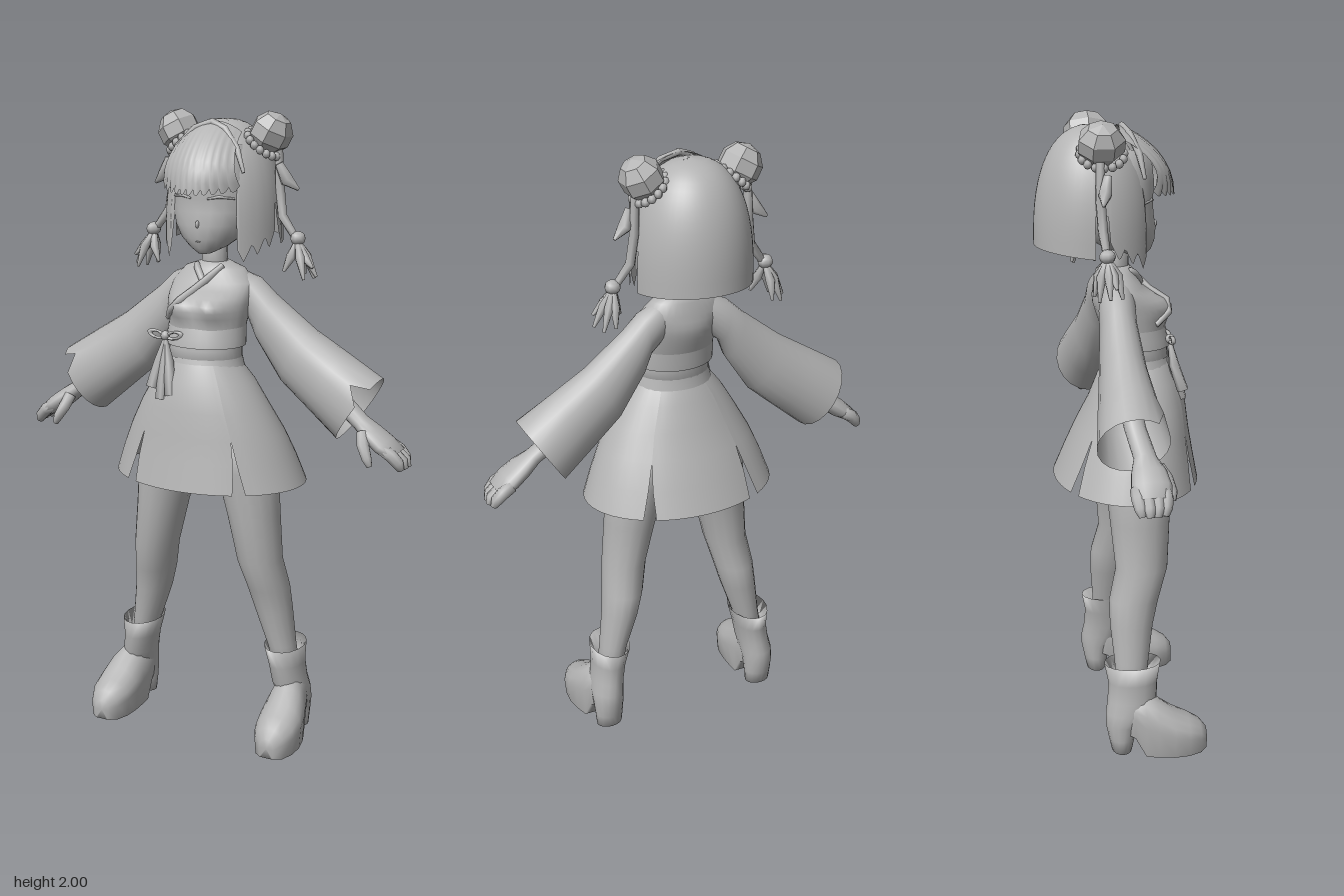
import * as THREE from 'three';

const V = (x, y, z) => new THREE.Vector3(x, y, z);
const lerp = THREE.MathUtils.lerp;
const RAD = Math.PI / 180;

// Grid surface from fn(column, row); outward side is column x row direction
function surface(cols, rows, fn, closed = false) {
  const pos = [], idx = [], w = closed ? cols : cols + 1;
  for (let i = 0; i <= rows; i++) for (let j = 0; j < w; j++) pos.push(...fn(j, i).toArray());
  for (let i = 0; i < rows; i++) for (let j = 0; j < cols; j++) {
    const k = (j + 1) % w, a = i * w + j, b = i * w + k, c = a + w, d = b + w;
    idx.push(a, b, c, b, d, c);
  }
  const g = new THREE.BufferGeometry();
  g.setAttribute('position', new THREE.Float32BufferAttribute(pos, 3));
  g.setIndex(idx);
  g.computeVertexNormals();
  return g;
}

// Closed loft through rings { c, e1, e2 }, where e1 x e2 points along the loft
function loft(rings, n = 16, caps = true, tweak = p => p) {
  const zero = V(0, 0, 0), last = rings[rings.length - 1];
  const all = caps ? [{ c: rings[0].c, e1: zero, e2: zero }, ...rings, { c: last.c, e1: zero, e2: zero }] : rings;
  return surface(n, all.length - 1, (j, i) => {
    const a = j / n * Math.PI * 2, r = all[i];
    return tweak(r.c.clone().addScaledVector(r.e1, Math.cos(a)).addScaledVector(r.e2, Math.sin(a)), j, i);
  }, true);
}

// Horizontal rings, listed from the top down: [y, cx, cz, rx, rz]
const column = (list, n, caps, tweak) => loft(list.map(([y, x, z, rx, rz]) => ({ c: V(x, y, z), e1: V(rx, 0, 0), e2: V(0, 0, rz) })), n, caps, tweak);

// Tapered strand through points
function strand(pts, radii, n = 6) {
  const p = pts.map(q => V(...q));
  return loft(p.map((c, i) => {
    const d = p[Math.min(i + 1, p.length - 1)].clone().sub(p[Math.max(i - 1, 0)]).normalize();
    const e1 = V(0, 0, 1).cross(d).normalize();
    const e2 = d.clone().cross(e1);
    return { c, e1: e1.multiplyScalar(radii[i]), e2: e2.multiplyScalar(radii[i]) };
  }), n);
}

const ball = (x, y, z, rx, ry, rz, w = 10, h = 8) => new THREE.SphereGeometry(1, w, h).scale(rx, ry, rz).translate(x, y, z);

export function createModel() {
  const model = new THREE.Group();
  const clay = new THREE.MeshStandardMaterial({ color: 0xb4b4b4, side: THREE.DoubleSide });
  clay.name = 'grey clay';
  const add = (name, g) => {
    const m = new THREE.Mesh(g, clay);
    m.name = name;
    model.add(m);
  };
  // Adds the +x part and its mirrored twin
  const pair = (name, g) => {
    add(name + 'Left', g);
    const h = g.index ? g.toNonIndexed() : g.clone();
    h.scale(-1, 1, 1);
    for (const at of [h.attributes.position, h.attributes.normal]) {
      for (let i = 0; i < at.count; i += 3) for (const k of ['X', 'Y', 'Z']) {
        const b = at['get' + k](i + 1);
        at['set' + k](i + 1, at['get' + k](i + 2));
        at['set' + k](i + 2, b);
      }
    }
    add(name + 'Right', h);
  };

  // Head, neck and face
  add('head', column([[1.9, 0, 0, .1, .1], [1.8, 0, -.01, .13, .122], [1.74, 0, -.008, .131, .116], [1.7, 0, -.005, .13, .116],
    [1.66, 0, 0, .12, .118], [1.62, 0, .015, .093, .1], [1.59, 0, .035, .055, .07], [1.572, 0, .06, .02, .03]], 20));
  add('neck', column([[1.62, 0, -.005, .042, .042], [1.55, 0, -.005, .04, .04], [1.47, 0, -.01, .05, .045]], 12));
  add('nose', ball(0, 1.665, .116, .006, .012, .008, 8, 6));
  add('mouth', ball(0, 1.612, .112, .009, .002, .003, 8, 4));
  pair('eyelid', strand([[.028, 1.742, .106], [.062, 1.748, .095], [.102, 1.742, .066]], [.003, .005, .003]));

  // Hair: a dome around the head whose hem height depends on azimuth from the front
  const hairR = y => .185 * Math.pow(Math.max(0, 1 - Math.pow(Math.max(0, (y - 1.62) / .35), 2.4)), 1 / 2.4);
  const hair = (a0, a1, cols, hem, inset = 0) => surface(cols, 14, (j, i) => {
    const a = lerp(a1, a0, j / cols), t = i / 14, y = 1.97 - (1.97 - hem(a)) * Math.pow(t, 1.7);
    const r = Math.max(0, hairR(y) - inset * (1 - Math.pow(t, 8)));
    return V(Math.sin(a * RAD) * r, y, -.075 + Math.cos(a * RAD) * r);
  });
  const backHem = a => 1.59 + .02 * Math.cos((a - 180) * RAD);
  add('backHair', hair(96, 264, 24, backHem));
  add('backHairLining', hair(264, 96, 24, backHem, .02));
  // Three pointed locks hang beside each cheek
  pair('frontHair', hair(0, 98, 49, a => {
    if (a < 38) return lerp(1.945, 1.83, a / 38);
    if (a > 82) return 1.72;
    const t = (a - 38) / 44 * 3;
    return 1.55 + .018 * Math.floor(t) + .09 * Math.abs(t % 1 - .4);
  }));
  pair('hairBand', strand([[-.004, 1.965, .012], [.05, 1.945, .028], [.1, 1.89, .05], [.128, 1.82, .062]], [.011, .011, .011, .006]));

  // Fringe sweeping forward from the crown to fine points
  add('bangs', surface(44, 8, (j, i) => {
    const x = lerp(.128, -.128, j / 44), t = i / 8, groove = j % 4 === 0 ? 1 : 0;
    const hem = 1.757 + groove * .013 + (j % 4 === 2 ? 0 : .004) + x * x * .6;
    const xt = x * lerp(.7, 1, t);
    const y = lerp(1.967 - xt * xt * 4, hem, Math.pow(t, 1.35));
    return V(xt, y, .175 * Math.sin(t * Math.PI / 2) - xt * xt * lerp(1, 5, t) - groove * .006 * t);
  }));

  // Faceted buns with a braid around each base
  const bun = new THREE.SphereGeometry(.067, 7, 5).scale(1, .98, 1.12).rotateZ(-.5).translate(.157, 1.93, -.073).toNonIndexed();
  bun.computeVertexNormals();
  pair('hairBun', bun);
  for (let k = 0; k < 16; k++) {
    const a = k / 16 * Math.PI * 2;
    const p = V(Math.cos(a) * .057, 0, Math.sin(a) * .066).applyAxisAngle(V(0, 0, 1), -.7).add(V(.133, 1.897, -.068));
    pair('bunBraid' + k, ball(p.x, p.y, p.z, .014, .014, .014, 6, 5));
  }

  // Hanging ribbons and tassels
  pair('hairRibbon', strand([[.18, 1.88, -.08], [.185, 1.77, -.08], [.197, 1.68, -.075], [.245, 1.615, -.07]], [.014, .016, .016, .012]));
  pair('ribbonEnd', strand([[.19, 1.84, -.06], [.212, 1.79, -.07], [.248, 1.762, -.08]], [.014, .022, .005]));
  pair('tasselKnot', ball(.252, 1.615, -.07, .025, .022, .025, 8, 6));
  [[.315, 1.5, -.07], [.295, 1.49, -.1], [.29, 1.495, -.03], [.218, 1.515, -.04], [.26, 1.5, -.11], [.31, 1.53, -.05]].forEach(([x, y, z], k) =>
    pair('tassel' + k, strand([[.25, 1.61, -.07], [lerp(.255, x, .45), 1.56, lerp(-.07, z, .7)], [x, y, z]], [.008, .016, .005])));

  // Bodice with a gently shaped chest, crossed collar and short jacket hem
  const torso = [[1.54, 0, -.01, .045, .045], [1.52, 0, -.01, .1, .058], [1.48, 0, .0, .135, .074], [1.46, 0, .012, .136, .09], [1.44, 0, .024, .136, .104],
    [1.42, 0, .032, .134, .11], [1.4, 0, .038, .132, .11], [1.38, 0, .042, .13, .108], [1.35, 0, .047, .126, .102], [1.32, 0, .054, .122, .098], [1.28, 0, .06, .118, .096], [1.2, 0, .065, .122, .1]];
  const chest = (x, y) => .03 * Math.exp(-(((Math.abs(x) - .058) / .045) ** 2) - ((y - 1.415) / .035) ** 2);
  add('bodice', column(torso, 32, true, p => {
    if (p.z > .05) p.z += chest(p.x, p.y);
    return p;
  }));
  add('jacketHem', column([[1.35, 0, .047, .126, .102], [1.315, 0, .054, .129, .106], [1.29, 0, .058, .129, .107]], 32, false));
  const frontZ = (x, y) => {
    const i = Math.max(1, torso.findIndex(r => r[0] <= y)), a = torso[i - 1], b = torso[i], t = (a[0] - y) / (a[0] - b[0]);
    return chest(x, y) + lerp(a[2], b[2], t) + lerp(a[4], b[4], t) * Math.sqrt(Math.max(0, 1 - (x / lerp(a[3], b[3], t)) ** 2));
  };
  const collar = (x0, y0, x1, y1) => strand([0, .2, .4, .6, .8, 1].map(t => {
    const x = lerp(x0, x1, t), y = lerp(y0, y1, t);
    return [x, y, frontZ(x, y)];
  }), [.01, .012, .012, .012, .012, .01]);
  add('collarOver', collar(.045, 1.53, -.108, 1.37));
  add('collarUnder', collar(-.045, 1.53, 0, 1.48));
  add('waistBand', column([[1.255, 0, .063, .121, .099], [1.22, 0, .065, .13, .108]], 24, false));

  // Side bow
  add('bowKnot', ball(-.095, 1.32, .15, .015, .015, .015));
  for (const s of [-1, 1]) add('bowLoop', new THREE.TorusGeometry(.018, .007, 6, 10).scale(1.4, .6, 1).rotateZ(s * .2).translate(-.095 + s * .03, 1.322, .15));
  [[-.125, 1.16], [-.092, 1.125], [-.058, 1.14]].forEach(([x, y], k) =>
    add('bowTail' + k, strand([[-.095, 1.315, .15], [lerp(-.095, x, .5), 1.24, .162], [x, y, .188]], [.006, .017, .019], 5)));

  // Four skirt panels split by slits
  const skirt = [[1.24, .07, .118, .098], [1.18, .065, .165, .13], [1.1, .06, .213, .155], [1.02, .045, .256, .18], [.94, .034, .29, .205], [.855, .024, .32, .231]];
  [[54, 126, 'Front'], [-55, 54, 'Left'], [-125, -55, 'Back'], [126, 235, 'Right']].forEach(([a0, a1, n]) =>
    add('skirt' + n, surface(14, 5, (j, i) => {
      const [y, cz, rx, rz] = skirt[i], gap = [0, 0, 0, 0, 1.5, 4][i];
      const a = lerp(a0 + gap, a1 - gap, j / 14) * RAD;
      return V(Math.cos(a) * rx, y, cz + Math.sin(a) * rz);
    })));
  add('hips', ball(0, 1.03, .05, .185, .13, .125, 16, 10));

  // Legs
  pair('leg', column([[1.03, .1, .04, .095, .115], [.9, .137, .045, .1, .11], [.75, .163, .046, .084, .096], [.6, .187, .048, .072, .084],
    [.5, .207, .02, .067, .08], [.42, .222, .01, .06, .07], [.3, .25, .006, .046, .055], [.2, .27, 0, .04, .05]], 16));

  // Boots: shaft running down into the heel, then the foot
  pair('bootShaft', column([[.25, .264, .007, .05, .065], [.303, .263, .007, .065, .092], [.24, .27, .007, .056, .08], [.18, .279, .003, .054, .08],
    [.14, .286, -.01, .055, .074], [.1, .288, -.028, .052, .056], [.05, .288, -.032, .048, .042], [.004, .288, -.032, .044, .032]], 16));
  const foot = [[-.03, .286, .08, .17, .045], [.005, .288, .065, .2, .055], [.04, .292, 0, .205, .06], [.08, .297, 0, .185, .068],
    [.13, .301, 0, .148, .073], [.18, .302, 0, .122, .068], [.22, .302, 0, .098, .05], [.242, .302, .004, .07, .025]];
  pair('bootFoot', loft(foot.map(([z, x, y0, y1, w]) => ({ c: V(x, (y0 + y1) / 2, z), e1: V(w, 0, 0), e2: V(0, (y1 - y0) / 2, 0) })), 16, true,
    (p, j, i) => { // flatten the sole
      if (i > 0 && i <= foot.length && j > 8) p.y = foot[i - 1][2];
      return p;
    }));

  // Wide sleeves with a notched cuff: [topX, topY, bottomX, bottomY, z, halfDepth]
  const sleeve = [[.08, 1.52, .08, 1.39, -.012, .05], [.145, 1.495, .12, 1.36, -.022, .057], [.2, 1.445, .142, 1.3, -.024, .058], [.33, 1.345, .225, 1.175, -.028, .073],
    [.44, 1.278, .325, 1.09, -.03, .09], [.55, 1.21, .42, 1.01, -.03, .108]];
  pair('sleeve', loft(sleeve.map(([tx, ty, bx, by, z, h]) => ({
    c: V((tx + bx) / 2, (ty + by) / 2, z), e1: V((tx - bx) / 2, (ty - by) / 2, 0), e2: V(0, 0, h) })), 20, false,
  (p, j, i) => i === 5 && j === 3 ? p.add(V(-.04, .035, 0)) : p));

  // Forearms and hands with close-set fingers
  const arm = [[.3, 1.25, -.03, .035, .035], [.42, 1.14, -.015, .03, .032], [.5, 1.078, 0, .026, .034], [.54, 1.048, .004, .03, .052], [.58, 1.018, .005, .031, .06], [.62, .99, .003, .024, .055]];
  pair('forearmAndPalm', loft(arm.map(([x, y, z, h, w]) => ({ c: V(x, y, z), e1: V(.68 * h, .73 * h, 0), e2: V(0, 0, w) })), 14));
  [-.039, -.012, .015, .041].forEach((z, k) => {
    const e = [0, .008, .006, 0][k];
    pair('finger' + k, strand([[.585, 1.013, z], [.615, .995, z], [.636 + e, .973, z * .9], [.645 + e, .952, z * .8]], [.02, .021, .019, .011], 8));
  });
  pair('thumb', strand([[.52, 1.055, .035], [.53, 1.02, .058], [.548, .985, .072], [.558, .962, .072]], [.02, .02, .016, .009], 8));
  return model;
}
